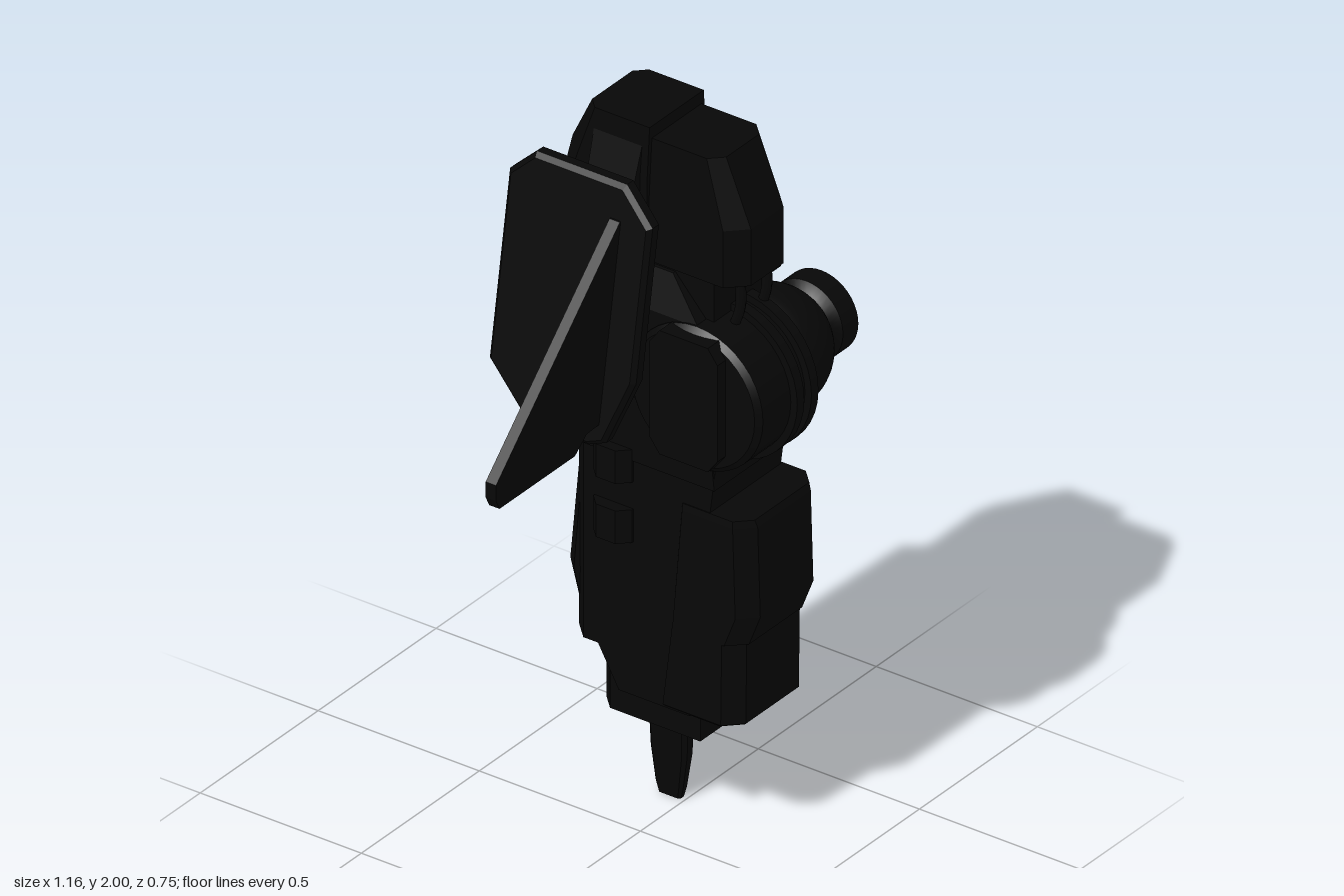
import * as THREE from 'three';
import { ConvexGeometry } from 'three/addons/geometries/ConvexGeometry.js';

export function createModel() {
  const model = new THREE.Group();
  const black = new THREE.MeshStandardMaterial({ color: 0x070707 });
  black.name = 'black';

  const add = (name, geo) => {
    const m = new THREE.Mesh(geo, black);
    m.name = name;
    model.add(m);
    return m;
  };
  const box = (name, x0, x1, y0, y1, z0, z1) =>
    add(name, new THREE.BoxGeometry(x1 - x0, y1 - y0, z1 - z0)
      .translate((x0 + x1) / 2, (y0 + y1) / 2, (z0 + z1) / 2));

  // Convex block from levels [y, x0, x1, zBack, zFront, backChamfer, frontChamfer]
  const hull = (name, levels) => {
    const pts = [];
    for (const [y, x0, x1, zb, zf, b = 0, f = 0] of levels) {
      for (const [x, s] of [[x0, 1], [x1, -1]]) {
        pts.push(new THREE.Vector3(x + s * b, y, zb), new THREE.Vector3(x + s * f, y, zf));
        if (b) pts.push(new THREE.Vector3(x, y, zb + b));
        if (f) pts.push(new THREE.Vector3(x, y, zf - f));
      }
    }
    return add(name, new ConvexGeometry(pts));
  };

  // Side profile in [z, y], extruded along x with a small chamfer
  const sideProfile = (pts, x0, x1, bevel) => {
    const shape = new THREE.Shape(pts.map(p => new THREE.Vector2(...p)));
    return new THREE.ExtrudeGeometry(shape, {
      depth: x1 - x0 - 2 * bevel, bevelEnabled: true, bevelSize: bevel,
      bevelOffset: -bevel, bevelThickness: bevel, bevelSegments: 1,
    }).rotateY(-Math.PI / 2).translate(x1 - bevel, 0, 0);
  };

  // Round part turned about the x axis, profile in [radius, x]
  const turned = (name, pts, y, z) =>
    add(name, new THREE.LatheGeometry(pts.map(p => new THREE.Vector2(...p)), 40)
      .rotateZ(-Math.PI / 2).translate(0, y, z));

  // Head: front block, rear block, flared cheeks, neck core
  hull('headFront', [
    [1.965, 0.09, 0.30, -0.03, 0.175, 0, 0.035],
    [1.78, 0.077, 0.315, -0.03, 0.25, 0, 0.05],
    [1.615, 0.077, 0.315, -0.03, 0.25, 0, 0.05],
  ]);
  hull('headRear', [
    [2.0, 0.08, 0.31, -0.23, -0.03, 0.03],
    [1.86, 0.07, 0.32, -0.305, -0.03, 0.06],
    [1.78, 0.07, 0.32, -0.32, -0.03, 0.05],
    [1.66, 0.08, 0.31, -0.315, -0.03, 0.05],
  ]);
  hull('headCheeks', [
    [1.95, 0.078, 0.312, -0.2, -0.05],
    [1.78, 0.035, 0.36, -0.2, -0.06],
    [1.75, 0.035, 0.36, -0.2, -0.06],
    [1.72, 0.08, 0.31, -0.2, -0.05],
  ]);
  hull('headRearLower', [
    [1.68, 0.08, 0.31, -0.30, 0, 0.05],
    [1.58, 0.08, 0.31, -0.25, 0, 0.05],
  ]);
  hull('neck', [
    [1.63, 0.08, 0.31, -0.22, 0.17], [1.45, 0.08, 0.31, -0.22, 0.17],
  ]);

  // Neck hoses
  for (const x of [0.125, 0.235]) {
    const path = new THREE.CatmullRomCurve3([
      new THREE.Vector3(x, 1.64, 0.215), new THREE.Vector3(x, 1.55, 0.22),
      new THREE.Vector3(x, 1.46, 0.19),
    ]);
    add('neckHose', new THREE.TubeGeometry(path, 10, 0.014, 8));
  }

  // Upper body with chamfered back and shoulders
  hull('upperBody', [
    [1.61, 0.07, 0.32, -0.24, 0.05, 0.05],
    [1.50, 0.04, 0.35, -0.26, 0.15, 0.05],
    [1.04, 0.04, 0.35, -0.26, 0.2, 0.05],
  ]);

  // Large joint: drum, ridges, ball and end cap
  turned('jointDrum', [[0, 0.02], [0.19, 0.02], [0.19, 0.02], [0.205, 0.035], [0.205, 0.035],
    [0.205, 0.255], [0.205, 0.255], [0.19, 0.27], [0.19, 0.27], [0, 0.27]], 1.3, 0.15);
  for (const x of [0.153, 0.213]) {
    turned('drumRidge', [[0.19, x], [0.225, x], [0.225, x], [0.225, x + 0.03],
      [0.225, x + 0.03], [0.19, x + 0.03]], 1.3, 0.15);
  }
  add('jointBall', new THREE.SphereGeometry(0.172, 40, 24).translate(0.328, 1.3, 0.15));
  turned('jointCap', [[0, 0.47], [0.09, 0.47], [0.09, 0.485], [0.115, 0.50], [0.115, 0.50],
    [0.115, 0.565], [0.115, 0.565], [0.098, 0.58], [0.098, 0.58], [0, 0.58]], 1.3, 0.148);
  hull('drumEndPlate', [
    [1.49, -0.015, 0.04, 0.07, 0.22], [1.45, -0.015, 0.04, 0.04, 0.25],
    [1.17, -0.015, 0.04, 0.04, 0.25], [1.13, -0.015, 0.04, 0.07, 0.22],
  ]);

  // Curved bracket around the back of the ball
  const arc = r => Array.from({ length: 17 }, (_, i) => {
    const a = THREE.MathUtils.degToRad(95 + i * 170 / 16);
    return [0.15 + r * Math.cos(a), 1.3 + r * Math.sin(a)];
  });
  add('jointBracket', sideProfile([...arc(0.242), ...arc(0.195).reverse()], 0.32, 0.42, 0.006));

  // Lower body core, front armour and rear armour
  hull('lowerBody', [
    [1.1, 0.045, 0.345, -0.26, 0.2, 0.05],
    [0.47, 0.045, 0.345, -0.26, 0.12, 0.05],
  ]);
  hull('lowerBodyFoot', [
    [0.48, 0.045, 0.345, -0.22, 0.12, 0.05],
    [0.355, 0.045, 0.345, -0.13, 0.12, 0.03],
  ]);
  hull('frontArmourUpper', [
    [0.97, 0.042, 0.353, 0.1, 0.295, 0, 0.04],
    [0.95, 0.04, 0.355, 0.1, 0.302, 0, 0.045],
    [0.69, 0.04, 0.355, 0.08, 0.31, 0, 0.045],
    [0.6, 0.04, 0.355, 0.07, 0.275, 0, 0.045],
  ]);
  hull('frontArmourLower', [
    [0.61, 0.04, 0.355, 0.07, 0.268, 0, 0.045],
    [0.365, 0.04, 0.355, 0.04, 0.265, 0, 0.045],
    [0.355, 0.05, 0.345, 0.05, 0.255, 0, 0.045],
  ]);
  hull('rearArmour', [
    [0.95, 0.09, 0.30, -0.275, -0.2, 0.03],
    [0.635, 0.08, 0.31, -0.305, -0.2, 0.04],
    [0.47, 0.09, 0.30, -0.26, -0.2, 0.03],
  ]);

  // Side clamps, mirrored about the body
  for (const y of [0.85, 1.025]) {
    for (const s of [-1, 1]) {
      const c = 0.1975 + s * 0.145;
      hull('sideClamp', [y - 0.048, y + 0.048].map(h =>
        [h, c - 0.043, c + 0.043, -0.175, -0.055, 0.03, 0.03]));
    }
  }

  // Bottom socket and tapered tip
  hull('bottomSocket', [
    [0.5, 0.09, 0.31, -0.2, 0.12, 0.04],
    [0.26, 0.09, 0.31, -0.2, 0.12, 0.04],
  ]);
  hull('tip', [
    [0.27, 0.168, 0.224, -0.107, 0.015, 0.012, 0.012],
    [0.13, 0.175, 0.217, -0.103, 0.01, 0.01, 0.01],
    [0.03, 0.18, 0.212, -0.09, -0.005, 0.008, 0.008],
    [0, 0.184, 0.208, -0.082, -0.013, 0.006, 0.006],
  ]);

  // Leaning wing plate, sheared so its lower end stands out
  const lean = geo => {
    const p = geo.attributes.position;
    for (let i = 0; i < p.count; i++) p.setX(i, p.getX(i) - 0.168 * (1.89 - p.getY(i)));
    geo.computeVertexNormals();
    return geo;
  };
  add('wingPlate', lean(sideProfile([[-0.3, 1.89], [-0.02, 1.89], [0.07, 1.8],
    [0.07, 1.38], [0, 1.2], [-0.05, 1.18], [-0.24, 1.18], [-0.375, 1.31], [-0.375, 1.82]],
    -0.04, 0.01, 0.012)));
  for (const z of [-0.25, -0.085]) {
    add('wingPlateRidge', lean(sideProfile([[z, 1.82], [z + 0.055, 1.82],
      [z + 0.055, 1.5], [z, 1.5]], 0, 0.027, 0.005)));
  }
  add('wingPlateKnob', lean(sideProfile([[-0.19, 1.4], [-0.1, 1.4],
    [-0.1, 1.23], [-0.19, 1.23]], -0.055, -0.02, 0.006)));

  // Mount between plate and body
  hull('wingMount', [
    [1.76, 0, 0.09, -0.18, -0.11], [1.7, -0.02, 0.09, -0.2, -0.05],
    [1.55, -0.02, 0.09, -0.2, -0.05], [1.5, 0.01, 0.09, -0.18, -0.08],
  ]);
  box('mountArm', -0.05, 0.06, 1.49, 1.54, -0.18, -0.11);

  // Thin swept wing
  const wing = new THREE.Shape([[-0.03, 1.8], [-0.06, 1.795], [-0.585, 1.28], [-0.585, 1.235],
    [-0.57, 1.205], [-0.25, 1.205], [-0.2, 1.245], [-0.1, 1.25]].map(p => new THREE.Vector2(...p)));
  add('wing', new THREE.ExtrudeGeometry(wing, { depth: 0.032, bevelEnabled: false })
    .translate(0, 0, -0.052));

  return model;
}
